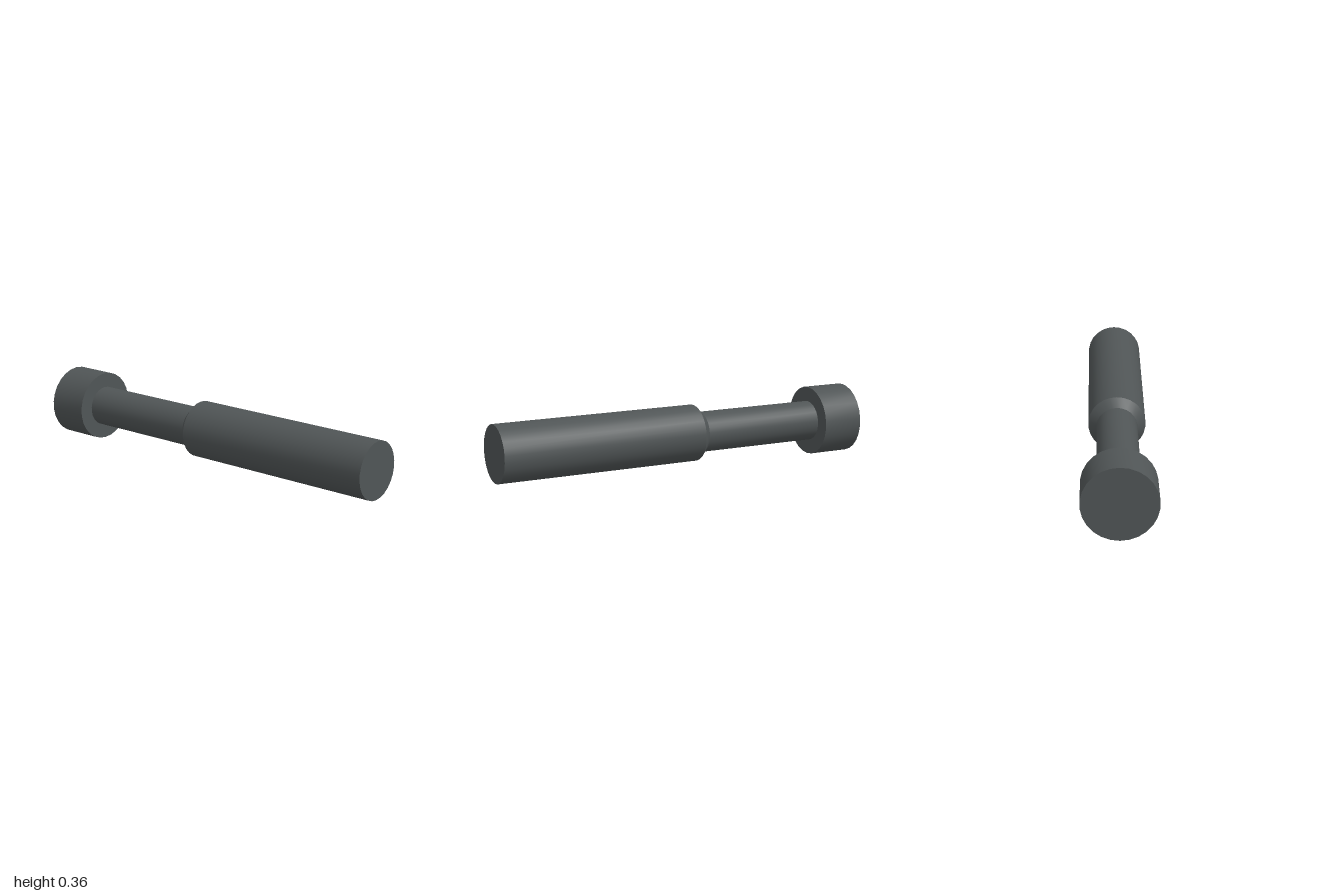
import * as THREE from 'three';
import { toCreasedNormals } from 'three/addons/utils/BufferGeometryUtils.js';

const SIDES = 26;
const HEAD_R = 0.181, BODY_R = 0.1455, NECK_R = 0.104;
const NECK_START = 0.124, NECK_END = 0.782;

export function createModel() {
  const pin = new THREE.Group();
  pin.name = 'headedPin';
  const steel = new THREE.MeshStandardMaterial({ color: 0x505556 });

  // Turns a [radius, distance towards the back] profile about the pin's z axis
  function turned(name, profile) {
    const points = profile.map(([r, d]) => new THREE.Vector2(r, d));
    const lathe = new THREE.LatheGeometry(points, SIDES).rotateX(-Math.PI / 2);
    const mesh = new THREE.Mesh(toCreasedNormals(lathe, Math.PI / 6), steel);
    mesh.name = name;
    mesh.position.y = HEAD_R;
    pin.add(mesh);
  }

  // Thick front shaft with a chamfered shoulder
  turned('shaft', [[0, -1], [BODY_R, -1], [BODY_R, 0.083], [NECK_R, NECK_START]]);
  // Slim neck
  turned('neck', [[NECK_R, NECK_START], [NECK_R, NECK_END]]);
  // Flat cylindrical head at the back
  turned('head', [[NECK_R, NECK_END], [HEAD_R, NECK_END], [HEAD_R, 1], [0, 1]]);

  return pin;
}
